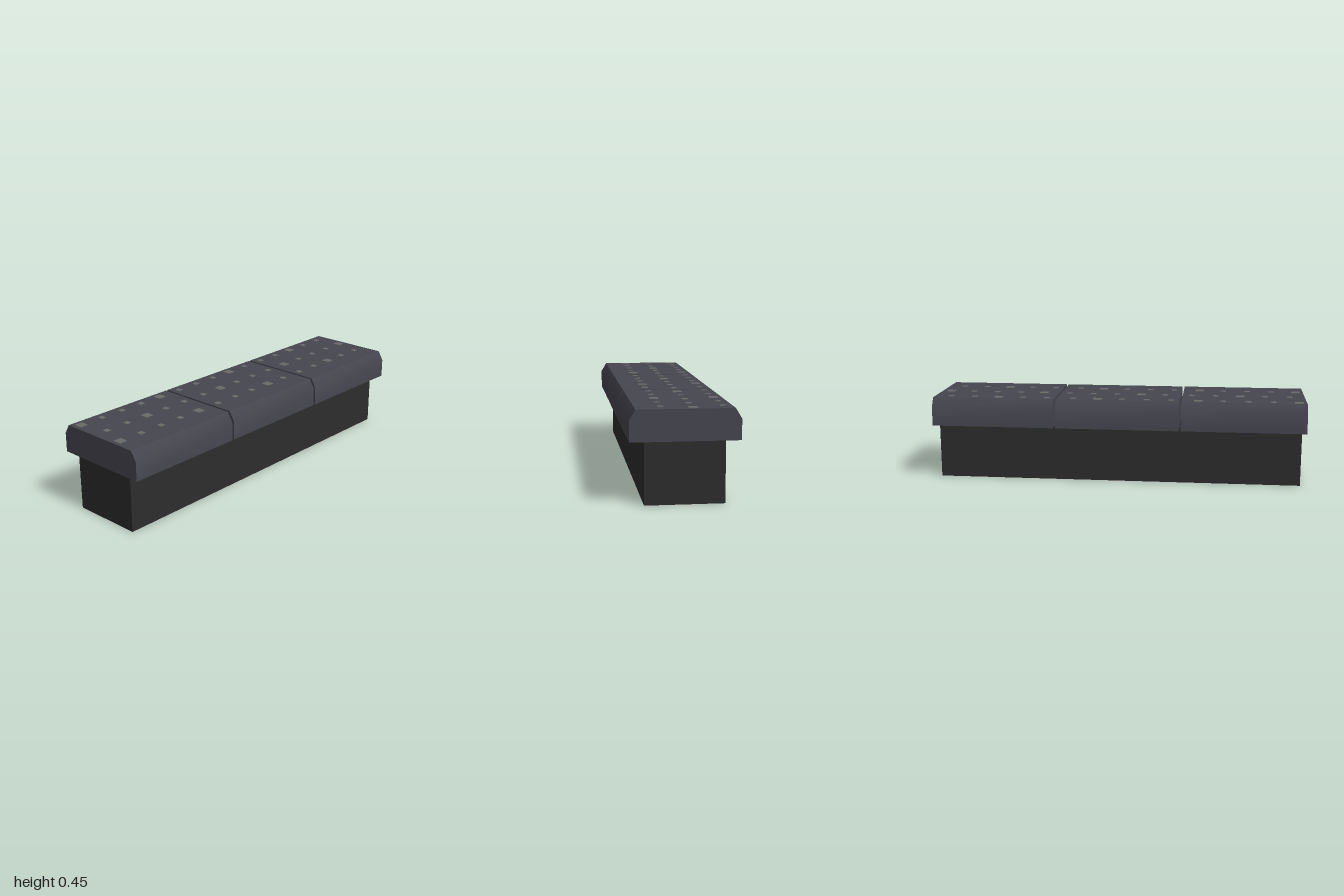
import * as THREE from 'three';
import { toCreasedNormals } from 'three/addons/utils/BufferGeometryUtils.js';

const SLAB_W = 0.658, SLAB_PITCH = 0.671, TOP = 0.45;

const stone = new THREE.MeshStandardMaterial({ name: 'slate grey', color: 0x464650 });
const plinth = new THREE.MeshStandardMaterial({ name: 'charcoal', color: 0x2d2d2d, side: THREE.DoubleSide });
const speckle = new THREE.MeshStandardMaterial({ name: 'light grey', color: 0x6a6a6a });

// Hollow base: four walls and a top, open underneath
function baseGeometry() {
  const geo = new THREE.BoxGeometry(1.96, 0.3, 0.38);
  geo.translate(0, 0.15, 0);
  const index = Array.from(geo.index.array);
  index.splice(18, 6); // drop the bottom face
  geo.setIndex(index);
  geo.clearGroups();
  return geo;
}

// Chamfered slab section swept along x
function slabGeometry() {
  const section = new THREE.Shape([
    [-0.26, 0.3], [0.26, 0.3], [0.26, 0.4], [0.23, TOP], [-0.23, TOP], [-0.26, 0.4],
  ].map(([z, y]) => new THREE.Vector2(z, y)));
  const geo = new THREE.ExtrudeGeometry(section, { depth: SLAB_W, bevelEnabled: false });
  geo.translate(0, 0, -SLAB_W / 2);
  geo.rotateY(Math.PI / 2);
  return toCreasedNormals(geo, 0.7); // soft chamfer to front, crisp top edge
}

export function createModel() {
  const group = new THREE.Group();
  group.name = 'bench';

  const base = new THREE.Mesh(baseGeometry(), plinth);
  base.name = 'base';
  group.add(base);

  const slabGeo = slabGeometry();
  const small = new THREE.BoxGeometry(0.03, 0.004, 0.03);
  const large = new THREE.BoxGeometry(0.046, 0.004, 0.046);

  for (let s = 0; s < 3; s++) {
    const section = new THREE.Group();
    section.name = `seatSection${s + 1}`;
    section.position.x = (s - 1) * SLAB_PITCH;

    const slab = new THREE.Mesh(slabGeo, stone);
    slab.name = 'slab';
    section.add(slab);

    // Staggered speckles, every fourth one larger
    for (let r = 0; r < 3; r++) {
      for (let c = 0; c < 5; c++) {
        const big = (c + 2 * r + s) % 4 === 0;
        const fleck = new THREE.Mesh(big ? large : small, speckle);
        fleck.name = 'speckle';
        fleck.position.set(-0.287 + c * 0.132 + (r % 2) * 0.04, TOP, -0.185 + r * 0.146);
        section.add(fleck);
      }
    }
    group.add(section);
  }
  return group;
}
